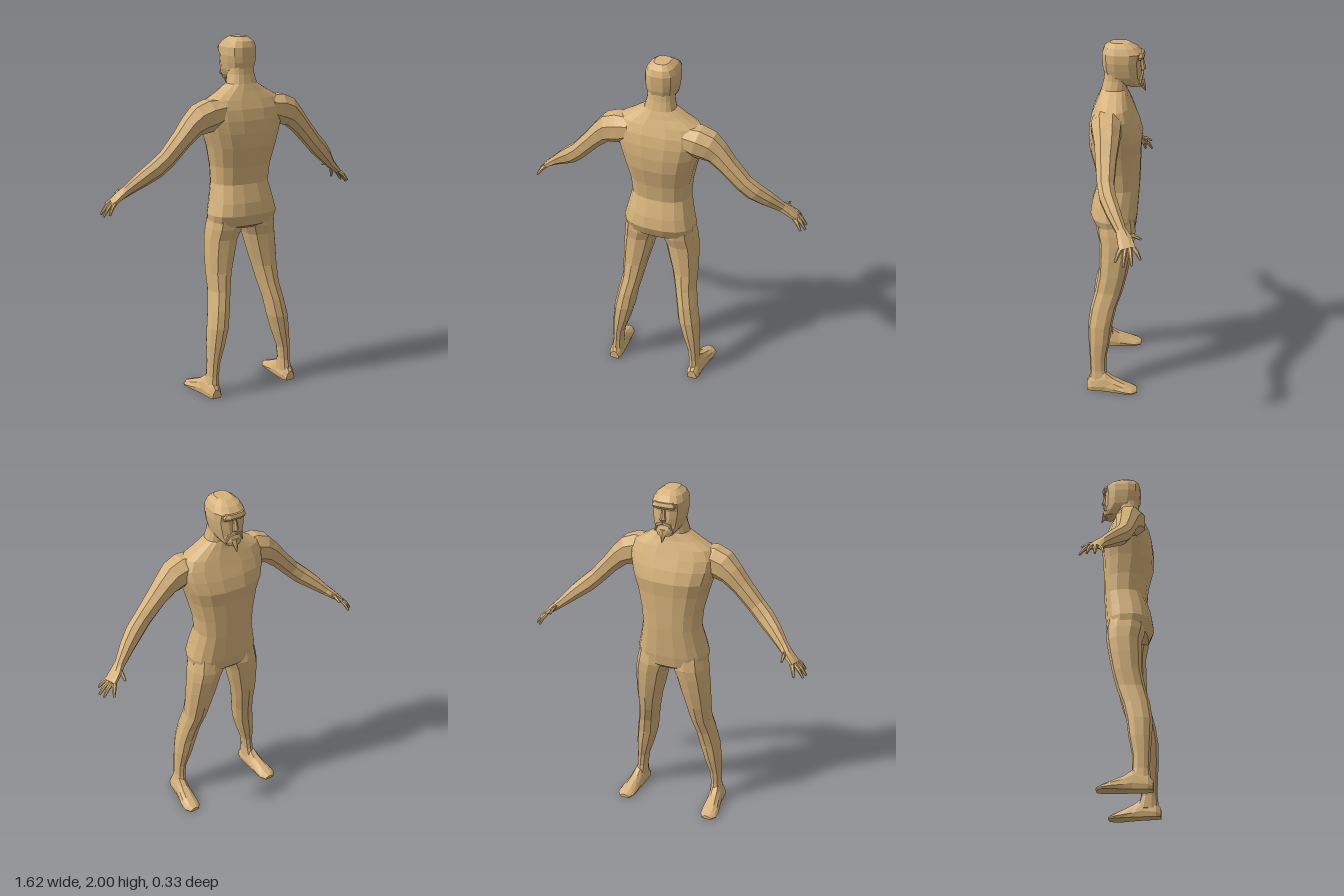
import * as THREE from 'three';

const skin = new THREE.MeshStandardMaterial({ color: 0xd6b27a });
skin.name = 'skin';

// Faceted skin over a list of equal-length rings, with fan caps; mirrored across x when side is -1.
function loft(name, rings, side = 1) {
  const pos = [], n = rings[0].length;
  const tri = (a, b, c) => [a, b, c].forEach(p => pos.push(p.x * side, p.y, p.z));
  for (let i = 0; i + 1 < rings.length; i++) {
    for (let j = 0; j < n; j++) {
      const k = (j + 1) % n, a = rings[i], b = rings[i + 1];
      tri(a[j], a[k], b[k]);
      tri(a[j], b[k], b[j]);
    }
  }
  [[rings[0], false], [rings.at(-1), true]].forEach(([r, end]) => {
    const mid = r.reduce((s, p) => s.add(p), new THREE.Vector3()).divideScalar(n);
    for (let j = 0; j < n; j++) {
      const k = (j + 1) % n;
      end ? tri(mid, r[j], r[k]) : tri(mid, r[k], r[j]);
    }
  });
  // Turn the faces outward if the enclosed volume is negative.
  const v = i => new THREE.Vector3().fromArray(pos, i);
  let volume = 0;
  for (let i = 0; i < pos.length; i += 9) volume += v(i).dot(v(i + 3).cross(v(i + 6)));
  if (volume < 0) {
    for (let i = 0; i < pos.length; i += 9) {
      for (let c = 0; c < 3; c++) [pos[i + 3 + c], pos[i + 6 + c]] = [pos[i + 6 + c], pos[i + 3 + c]];
    }
  }
  const geo = new THREE.BufferGeometry();
  geo.setAttribute('position', new THREE.Float32BufferAttribute(pos, 3));
  geo.computeVertexNormals();
  const mesh = new THREE.Mesh(geo, skin);
  mesh.name = name;
  return mesh;
}

// Points of a rounded-square outline.
function outline(n, power) {
  const f = v => Math.sign(v) * Math.abs(v) ** (2 / power);
  return Array.from({ length: n }, (_, i) => {
    const a = (i + 0.5) / n * Math.PI * 2;
    return [f(Math.cos(a)), f(Math.sin(a))];
  });
}

// Level sections: [y, left x, right x, front z, back z]
function levels(rows, n, power) {
  return rows.map(([y, x0, x1, z0, z1]) => outline(n, power).map(([c, s]) =>
    new THREE.Vector3((x0 + x1) / 2 + c * (x1 - x0) / 2, y, (z0 + z1) / 2 + s * (z1 - z0) / 2)));
}
const symmetric = rows => rows.map(([y, w, z0, z1]) => [y, -w, w, z0, z1]);

// Sections across a path: [x, y, z, radius in the front plane, radius in depth]
function limb(rows, n, power = 2) {
  const pts = rows.map(r => new THREE.Vector3(r[0], r[1], r[2]));
  return rows.map((r, i) => {
    const t = pts[Math.min(i + 1, pts.length - 1)].clone().sub(pts[Math.max(i - 1, 0)]).normalize();
    const depth = new THREE.Vector3(0, 0, 1).addScaledVector(t, -t.z).normalize();
    const across = depth.clone().cross(t);
    return outline(n, power).map(([c, s]) =>
      pts[i].clone().addScaledVector(across, c * r[3]).addScaledVector(depth, s * r[4]));
  });
}

export function createModel() {
  const man = new THREE.Group();
  man.name = 'man';

  // Trunk from crotch to neck: [y, half width, front z, back z]
  man.add(loft('torso', levels(symmetric([
    [0.945, 0.1, -0.08, 0.09], [0.965, 0.195, -0.1, 0.125], [1.03, 0.205, -0.11, 0.155],
    [1.1, 0.188, -0.115, 0.145], [1.2, 0.167, -0.122, 0.115], [1.3, 0.175, -0.125, 0.128],
    [1.41, 0.2, -0.128, 0.155], [1.49, 0.225, -0.135, 0.16], [1.56, 0.245, -0.115, 0.155],
    [1.62, 0.25, -0.09, 0.142], [1.67, 0.22, -0.07, 0.122], [1.71, 0.15, -0.055, 0.105],
    [1.75, 0.085, -0.045, 0.09], [1.8, 0.073, -0.05, 0.078], [1.86, 0.07, -0.05, 0.07],
  ]), 16, 2.5)));

  // Head with jaw and flattened crown
  man.add(loft('head', levels(symmetric([
    [1.765, 0.042, -0.132, -0.05], [1.79, 0.062, -0.135, 0.02], [1.82, 0.076, -0.126, 0.07],
    [1.86, 0.084, -0.126, 0.083], [1.9, 0.09, -0.122, 0.086], [1.945, 0.088, -0.132, 0.088],
    [1.977, 0.072, -0.1, 0.076], [2, 0.042, -0.06, 0.045],
  ]), 12, 2.7)));
  man.add(loft('brow', levels(symmetric([
    [1.915, 0.06, -0.132, -0.09], [1.93, 0.066, -0.142, -0.09], [1.95, 0.055, -0.136, -0.09],
  ]), 8, 3)));
  man.add(loft('nose', levels(symmetric([
    [1.843, 0.012, -0.132, -0.11], [1.858, 0.017, -0.148, -0.11], [1.92, 0.008, -0.132, -0.11],
  ]), 6, 2)));
  man.add(loft('chinBeard', levels(symmetric([
    [1.733, 0.002, -0.148, -0.143], [1.765, 0.014, -0.146, -0.11], [1.8, 0.03, -0.139, -0.1],
  ]), 6, 2)));

  for (const side of [1, -1]) {
    const label = side > 0 ? 'left' : 'right';

    // Moustache sweeping down to the jaw
    man.add(loft(label + 'Moustache', limb([
      [0, 1.836, -0.13, 0.008, 0.008], [0.035, 1.825, -0.125, 0.009, 0.009],
      [0.05, 1.785, -0.118, 0.004, 0.006],
    ], 5), side));

    // Arm from inside the shoulder to the palm
    man.add(loft(label + 'Arm', limb([
      [0.15, 1.61, 0.05, 0.07, 0.08], [0.215, 1.595, 0.05, 0.09, 0.085], [0.275, 1.575, 0.045, 0.086, 0.078],
      [0.325, 1.54, 0.04, 0.067, 0.068], [0.385, 1.478, 0.04, 0.055, 0.058],
      [0.475, 1.38, 0.035, 0.05, 0.047], [0.53, 1.33, 0.02, 0.051, 0.046],
      [0.595, 1.277, -0.013, 0.043, 0.04], [0.665, 1.215, -0.055, 0.029, 0.029],
      [0.7, 1.187, -0.075, 0.023, 0.04], [0.745, 1.15, -0.092, 0.014, 0.046],
    ], 8, 2.2), side));

    // Thumb and fingers, each from base to tip
    [
      [[0.685, 1.2, -0.09], [0.69, 1.18, -0.16]],
      [[0.735, 1.155, -0.122], [0.76, 1.1, -0.16]],
      [[0.742, 1.152, -0.105], [0.8, 1.085, -0.117]],
      [[0.745, 1.15, -0.082], [0.805, 1.08, -0.075]],
      [[0.74, 1.152, -0.06], [0.787, 1.095, -0.033]],
    ].forEach(([a, b], i) => {
      const mid = a.map((v, k) => (v + b[k]) / 2 + (k === 1 ? 0.008 : 0));
      man.add(loft(label + (i ? 'Finger' + i : 'Thumb'), limb([
        [...a, 0.013, 0.013], [...mid, 0.011, 0.011], [...b, 0.006, 0.006],
      ], 6), side));
    });

    // Leg from hip to ankle: [y, inner x, outer x, front z, back z]
    man.add(loft(label + 'Leg', levels([
      [1.04, 0.02, 0.19, -0.09, 0.12], [0.95, 0.004, 0.21, -0.102, 0.115], [0.89, 0.03, 0.217, -0.095, 0.1],
      [0.8, 0.052, 0.222, -0.08, 0.1], [0.7, 0.08, 0.223, -0.06, 0.102], [0.6, 0.103, 0.222, -0.035, 0.12],
      [0.5, 0.125, 0.24, 0, 0.146], [0.4, 0.14, 0.259, 0.022, 0.16], [0.3, 0.168, 0.268, 0.035, 0.157],
      [0.2, 0.202, 0.27, 0.055, 0.15], [0.12, 0.213, 0.272, 0.055, 0.147], [0.05, 0.212, 0.285, 0.03, 0.155],
    ], 10, 2.3), side));

    // Foot in upright sections from heel to toe: [z, centre x, half width, height]
    man.add(loft(label + 'Foot', [
      [0.165, 0.25, 0.028, 0.05], [0.14, 0.25, 0.04, 0.085], [0.06, 0.253, 0.042, 0.11],
      [0.015, 0.258, 0.046, 0.078], [-0.05, 0.267, 0.052, 0.05], [-0.095, 0.27, 0.05, 0.032],
      [-0.125, 0.268, 0.028, 0.02],
    ].map(([z, x, w, h]) => [[-0.9, 0], [0.9, 0], [1, 0.3], [0.75, 0.7], [0.35, 1], [-0.35, 1], [-0.75, 0.7], [-1, 0.3]]
      .map(([u, v]) => new THREE.Vector3(x + u * w, v * h, z))), side));
  }
  return man;
}
